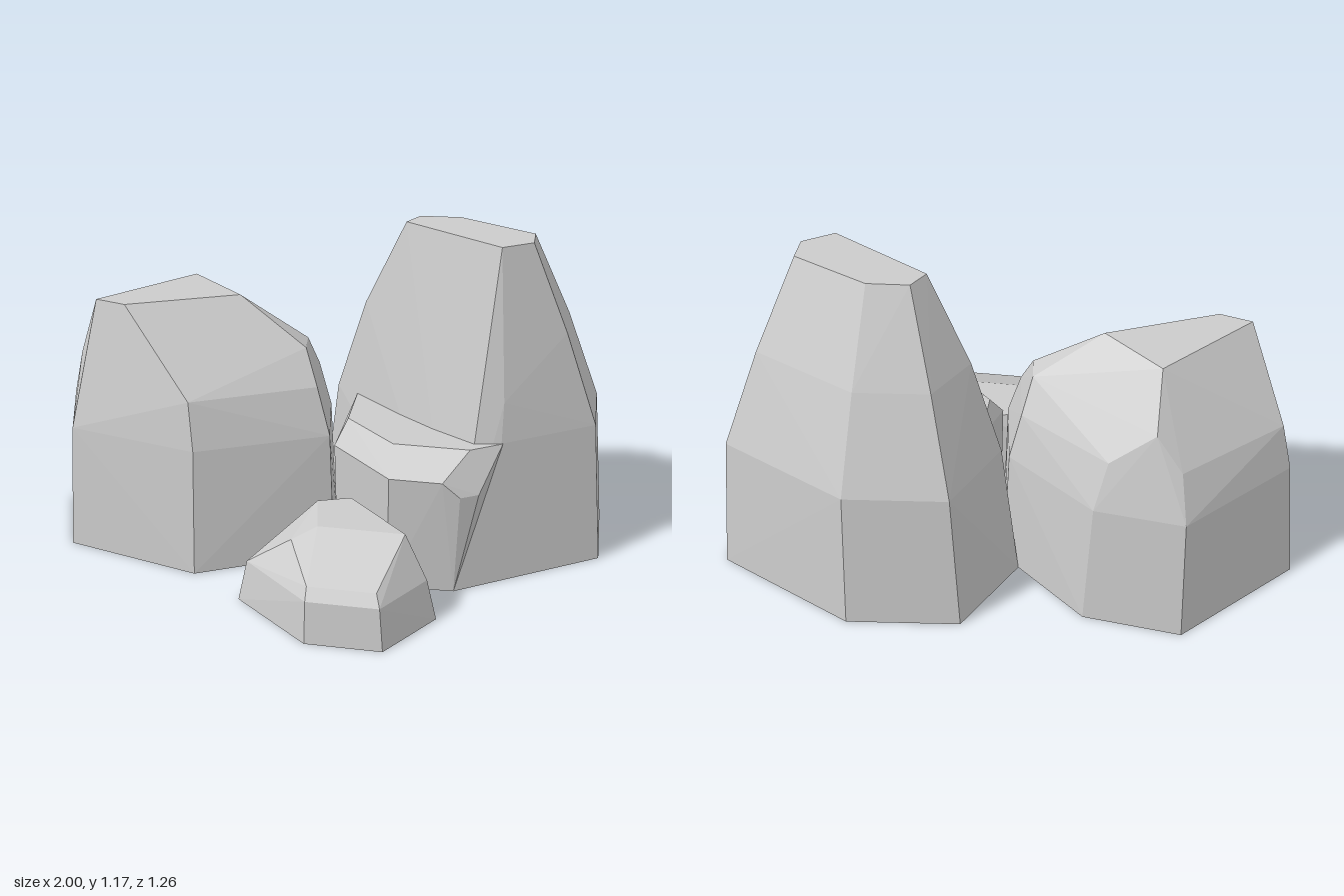
import * as THREE from 'three';
import { ConvexGeometry } from 'three/addons/geometries/ConvexGeometry.js';

const material = new THREE.MeshStandardMaterial({ color: 0xcccccc, flatShading: true });

// A faceted boulder: the hull around rings of [x, z] corners, each ring at height y
function boulder(name, rings) {
  const points = rings.flatMap(({ y, ring }) => ring.map(([x, z]) => new THREE.Vector3(x, y, z)));
  const mesh = new THREE.Mesh(new ConvexGeometry(points), material);
  mesh.name = name;
  return mesh;
}

export function createModel() {
  const group = new THREE.Group();
  group.name = 'rockCluster';

  // Tallest rock, tapering to a small flat top
  group.add(boulder('tallRock', [
    { y: 0, ring: [[-0.04, -0.29], [0.12, -0.59], [0.51, -0.63], [1, -0.39], [1, -0.08], [0.51, 0.23]] },
    { y: 0.52, ring: [[0.02, -0.27], [0.15, -0.55], [0.5, -0.585], [0.95, -0.36], [0.95, -0.1], [0.64, 0.1]] },
    { y: 0.66, ring: [[0.64, 0.075]] },
    { y: 0.86, ring: [[0.12, -0.25], [0.22, -0.43], [0.47, -0.455], [0.83, -0.28], [0.83, -0.09]] },
    { y: 1.175, ring: [[0.26, -0.22], [0.3, -0.29], [0.44, -0.3], [0.7, -0.175], [0.7, -0.085], [0.6, -0.02]] },
  ]));

  // Broad rock with sloping shoulders
  group.add(boulder('broadRock', [
    { y: 0, ring: [[-1, -0.17], [-0.89, 0.155], [-0.4, 0.28], [0.06, 0.05], [0.02, -0.24], [-0.29, -0.5], [-0.63, -0.54]] },
    { y: 0.46, ring: [[-0.95, -0.16], [-0.865, 0.13], [-0.4, 0.235], [0.04, 0.03], [0, -0.23], [-0.31, -0.465], [-0.615, -0.5]] },
    { y: 0.63, ring: [[-0.91, -0.15], [-0.42, 0.2], [-0.01, 0], [-0.04, -0.21], [-0.35, -0.42], [-0.59, -0.44]] },
    { y: 0.75, ring: [[-0.06, -0.06], [-0.07, -0.15], [-0.5, -0.41]] },
    { y: 0.915, ring: [[-0.78, 0.03], [-0.67, 0.06], [-0.3, -0.1], [-0.5, -0.27]] },
  ]));

  // Middle rock leaning out of the tall one
  group.add(boulder('middleRock', [
    { y: 0, ring: [[0.07, 0.04], [0.28, 0.24], [0.51, 0.23], [0.5, 0], [0.1, -0.2]] },
    { y: 0.38, ring: [[0.52, 0.25], [0.58, 0.215]] },
    { y: 0.435, ring: [[0.06, 0.05], [0.28, 0.26], [0.46, 0.26]] },
    { y: 0.52, ring: [[0.1, -0.21], [0.1, 0], [0.28, 0.165], [0.54, 0.165], [0.645, 0.1], [0.6, 0.02]] },
  ]));

  // Low rock in front
  group.add(boulder('smallRock', [
    { y: 0, ring: [[-0.21, 0.41], [0.06, 0.63], [0.32, 0.63], [0.47, 0.41], [0.18, 0.14], [-0.12, 0.18]] },
    { y: 0.15, ring: [[-0.18, 0.4], [0.06, 0.61], [0.305, 0.61], [0.435, 0.41], [0.17, 0.15], [-0.1, 0.19]] },
    { y: 0.19, ring: [[0.06, 0.58], [0.29, 0.58]] },
    { y: 0.27, ring: [[-0.02, 0.43]] },
    { y: 0.3, ring: [[0.06, 0.38], [0.355, 0.38], [0.14, 0.17], [0.03, 0.21]] },
  ]));

  return group;
}
